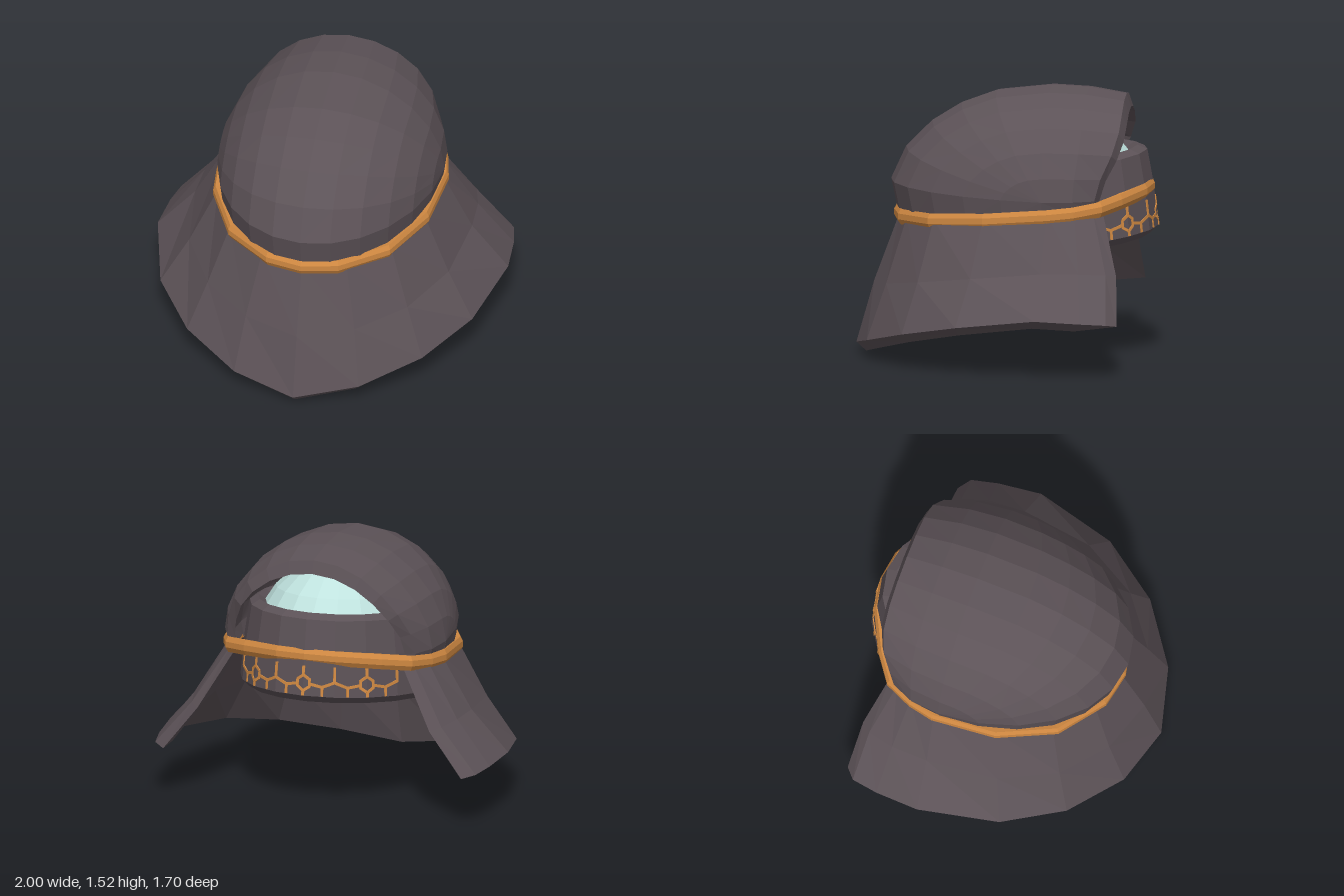
import * as THREE from 'three';

const V = (x, y, z) => new THREE.Vector3(x, y, z);
const flat = (name, color, side = THREE.FrontSide) =>
  Object.assign(new THREE.MeshStandardMaterial({ color, flatShading: true, side }), { name });

// Surface through rows of points; faces point along (next row) x (next column)
function surface(rows) {
  const n = rows[0].length, index = [];
  for (let r = 0; r < rows.length - 1; r++) {
    for (let c = 0; c < n - 1; c++) {
      const a = r * n + c, b = a + n;
      index.push(a, b, a + 1, b, b + 1, a + 1);
    }
  }
  const g = new THREE.BufferGeometry().setFromPoints(rows.flat());
  g.setIndex(index);
  g.computeVertexNormals();
  return g;
}

// Height of the tilted hat band at depth z
const bandY = z => (z > -0.5 ? 0.79 + (0.6 - z) * 0.086 : 0.885 + (-0.5 - z) * 0.23);

// Hood: arches swept from the brow over the top to the open back rim
function hoodGeometry() {
  const N = 12;
  const arch = (foot, fn) => {
    const pts = [];
    for (let i = 0; i <= N; i++) {
      const a = (i / N) * Math.PI;
      pts.push(fn(Math.cos(a), Math.sin(a)));
    }
    return [foot, ...pts, V(-foot.x, foot.y, foot.z)];
  };
  const side = V(0.62, 0.88, -0.25);
  const rows = [arch(side, (c, s) => {
    const z = -0.25 + 0.86 * s;
    return V(0.62 * c, bandY(z), z);
  })];
  for (const deg of [90, 65, 48, 34, 20, 0]) {
    const b = THREE.MathUtils.degToRad(deg), f = Math.sin(b);
    const rise = 0.57 * Math.max(0, Math.cos(b)) ** 1.3;
    rows.push(arch(side, (c, s) =>
      V(0.635 * c, 0.95 + rise * s ** 1.1 + 0.03 * f * s, -0.25 + 0.9 * s * f)));
  }
  for (const [z0, w, top, lean] of [[-0.46, 0.615, 1.51, 0.04], [-0.67, 0.56, 1.475, 0.13]]) {
    const zf = z0 + lean;
    rows.push(arch(V(w - 0.02, bandY(zf), zf), (c, s) =>
      V(w * c, 0.95 + (top - 0.95) * s ** 1.1, z0 + lean * c ** 8)));
  }
  const inner = rows.map(row => row.map(p => V(
    p.x * 0.9,
    p.y > 0.95 ? 0.95 + (p.y - 0.95) * 0.86 : p.y,
    p.z > -0.25 ? -0.25 + (p.z + 0.25) * 0.92 : p.z - 0.025)));
  return surface([...rows, ...inner.reverse()]);
}

// Flared neck skirt: [top, middle, hem] of each fold, from the front centre to the back edge
function skirtGeometries() {
  const half = [
    [V(0, 0.79, 0.6), V(0, 0.4, 0.745), V(0, 0.05, 0.845)],
    [V(0.24, 0.8, 0.54), V(0.31, 0.43, 0.65), V(0.355, 0.115, 0.755)],
    [V(0.46, 0.82, 0.37), V(0.57, 0.48, 0.45), V(0.67, 0.2, 0.53)],
    [V(0.59, 0.85, 0.08), V(0.74, 0.53, 0.14), V(0.89, 0.275, 0.21)],
    [V(0.62, 0.875, -0.28), V(0.79, 0.57, -0.26), V(1.0, 0.335, -0.24)],
    [V(0.59, 0.88, -0.43), V(0.78, 0.57, -0.47), V(0.98, 0.32, -0.49)],
    [V(0.54, 0.885, -0.53), V(0.74, 0.56, -0.62), V(0.95, 0.31, -0.64)],
  ];
  const mirror = half.slice(1).map(col => col.map(p => V(-p.x, p.y, p.z)));
  const outer = [...half.reverse(), ...mirror];
  // The lining runs a little past the cloth at the slanted back edges
  const inner = outer.map(col => col.map(p => (p.z < -0.5
    ? V(p.x * 0.93, p.y - 0.015, p.z - 0.055)
    : V(p.x * 0.93, p.y - 0.05, p.z * 0.935))));
  const last = outer.length - 1;
  return [
    surface(outer.map((col, i) => [...col, ...[...inner[i]].reverse()])),
    surface([inner[0], outer[0]]),
    surface([outer[last], inner[last]]),
  ];
}

// Hat band: faceted profile carried round the hood and over the back of the cap
function bandGeometry() {
  const half = [[0, 0.615], [0.2, 0.575], [0.45, 0.39], [0.6, 0.08], [0.635, -0.28],
    [0.605, -0.42], [0.54, -0.57], [0.4, -0.67], [0.17, -0.785], [0, -0.81]];
  const back = half.slice(0, -1).reverse();
  const loop = [...half.map(([x, z]) => [-x, z]), ...back];
  const profile = [[-0.03, -0.035], [0.002, -0.044], [0.018, -0.015], [0.018, 0.018],
    [0.004, 0.044], [-0.03, 0.038], [-0.03, -0.035]];
  return surface(profile.map(([o, h]) => loop.map(([x, z]) => {
    const k = 1 + o / 0.7;
    return V(x * k, bandY(z) + h, -0.1 + (z + 0.1) * k);
  })));
}

// Inner cap: tilted oval rings; y is given at the back of the ring
const SEG = 20;
function capPoint(step, scale, y) {
  const t = (step / SEG) * Math.PI * 2;
  const z = -0.15 + 0.7 * scale * Math.cos(t);
  return V(-0.57 * scale * Math.sin(t), y - 0.12 * (z + 0.8), z);
}
function capRings(profile, from = 0, to = SEG) {
  return surface(profile.map(([s, y]) =>
    Array.from({ length: to - from + 1 }, (_, i) => capPoint(from + i, s, y))));
}

// Point on the flat facets of the cap wall
function wallPoint(step, y) {
  const s = 1 - 0.04 * (y - 0.73) / 0.24, i = Math.floor(step);
  return capPoint(i, s, y).lerp(capPoint(i + 1, s, y), step - i);
}

// Thin stitched bar lying on the cap wall
function stitch(a, b, material) {
  const dir = b.clone().sub(a);
  const mid = a.clone().add(b).multiplyScalar(0.5);
  const x = dir.clone().normalize();
  const out = V(mid.x / 0.325, 0.1, (mid.z + 0.15) / 0.49);
  const y = out.clone().cross(x).normalize();
  const z = x.clone().cross(y);
  const m = new THREE.Mesh(new THREE.BoxGeometry(dir.length() + 0.006, 0.016, 0.009), material);
  m.quaternion.setFromRotationMatrix(new THREE.Matrix4().makeBasis(x, y, z));
  m.position.copy(mid);
  m.name = 'stitch';
  return m;
}

export function createModel() {
  const cloth = flat('dark cloth', 0x5c5257, THREE.DoubleSide);
  const orange = flat('orange trim', 0xd28a42);
  const teal = flat('pale teal', 0xbfe2de);
  const model = new THREE.Group();
  model.name = 'hoodedHat';
  const add = (name, geometry, material, parent = model) => {
    const mesh = new THREE.Mesh(geometry, material);
    mesh.name = name;
    parent.add(mesh);
  };

  add('hood', hoodGeometry(), cloth);

  const skirt = new THREE.Group();
  skirt.name = 'neckSkirt';
  const names = ['skirtCloth', 'leftBackEdge', 'rightBackEdge'];
  skirtGeometries().forEach((g, i) => add(names[i], g, cloth, skirt));
  model.add(skirt);

  add('hatBand', bandGeometry(), orange);

  add('innerCap', capRings([[0, 1.25], [0.5, 1.2], [0.8, 1.08], [0.86, 0.72], [0.93, 0.69],
    [1, 0.73], [0.96, 0.97], [0.91, 1.165], [0.83, 1.195], [0.75, 1.165]]), cloth);
  add('capCrown', capRings([[0.77, 1.16], [0.66, 1.26], [0.48, 1.36], [0.25, 1.42], [0, 1.44]]), teal);
  // Strip of the band showing inside the front of the cap
  add('innerBand', capRings([[0.81, 0.96], [0.815, 0.925]], 16, 24), orange);

  // Honeycomb stitching across the back of the cap: rings joined by bent links
  const honeycomb = new THREE.Group();
  honeycomb.name = 'honeycombStitching';
  const line = (...pts) => {
    for (let i = 1; i < pts.length; i++) {
      honeycomb.add(stitch(wallPoint(...pts[i - 1]), wallPoint(...pts[i]), orange));
    }
  };
  for (const s of [8, 10, 12]) {
    const l = s - 0.2, r = s + 0.2;
    line([s, 0.85], [r, 0.825], [r, 0.785], [s, 0.76], [l, 0.785], [l, 0.825], [s, 0.85]);
    line([s, 0.85], [s, 0.9]);
    line([s, 0.76], [s, 0.735]);
    line([l, 0.8], [s - 0.6, 0.785], [s - 1, 0.815]);
    line([r, 0.8], [s + 0.6, 0.785], [s + 1, 0.815]);
    line([s - 0.6, 0.785], [s - 0.6, 0.735]);
    line([s + 0.6, 0.785], [s + 0.6, 0.735]);
  }
  for (const s of [7, 9, 11, 13]) line([s, 0.815], [s, 0.9]);
  model.add(honeycomb);
  return model;
}
